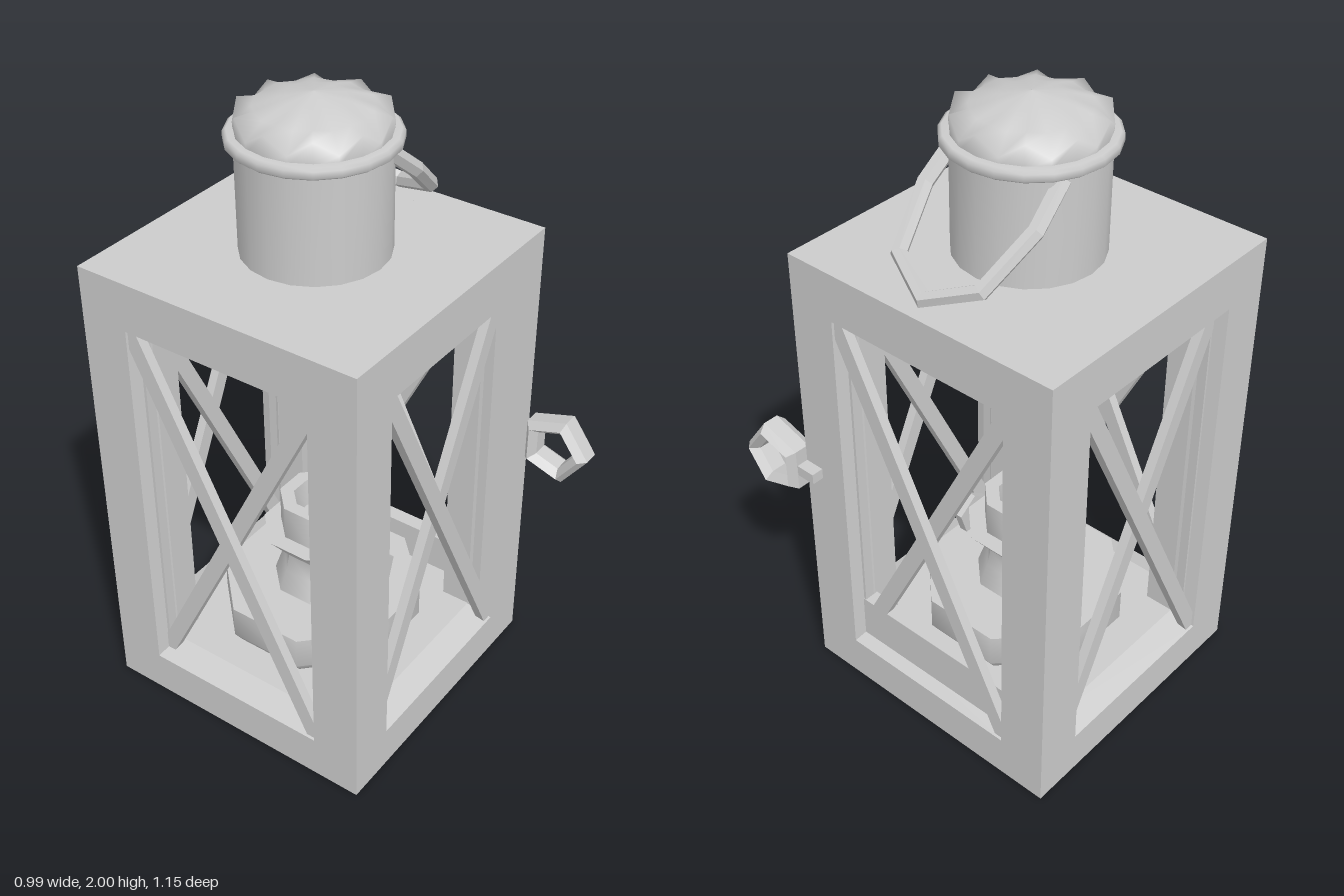
import * as THREE from 'three';
import { mergeVertices, toCreasedNormals } from 'three/addons/utils/BufferGeometryUtils.js';

const CX = -0.033, CZ = -0.107;              // axis of the lantern body
const HX = 0.4635, HZ = 0.4675, H = 1.535;   // body half sizes and height
const T = 0.08;                              // wall thickness
const WIN_LOW = 0.14, WIN_TOP = 1.38;
const POST = 0.176;                          // depth of the square corner posts

const smooth = new THREE.MeshStandardMaterial({ color: 0xcccccc, side: THREE.DoubleSide });
const flat = new THREE.MeshStandardMaterial({ color: 0xcccccc, flatShading: true });

function add(parent, name, geometry, material, x = 0, y = 0, z = 0) {
  const mesh = new THREE.Mesh(geometry, material);
  mesh.name = name;
  mesh.position.set(x, y, z);
  parent.add(mesh);
  return mesh;
}

const box = (w, h, d) => new THREE.BoxGeometry(w, h, d);
const lathe = (pts, n) => new THREE.LatheGeometry(pts.map(p => new THREE.Vector2(...p)), n);

// Window frame facing +z: mitred at the corners, opening narrowing inward
function frameGeometry(half, win) {
  const rect = (C, w, y0, y1) => {
    const s = new C();
    s.moveTo(-w, y0); s.lineTo(w, y0); s.lineTo(w, y1); s.lineTo(-w, y1); s.closePath();
    return s;
  };
  const shape = rect(THREE.Shape, half, 0, H);
  shape.holes.push(rect(THREE.Path, win, WIN_LOW, WIN_TOP));
  const g = new THREE.ExtrudeGeometry(shape, { depth: T, bevelEnabled: false });
  g.translate(0, 0, -T);
  const p = g.attributes.position;
  for (let i = 0; i < p.count; i++) {
    if (p.getZ(i) > -T / 2) continue;
    const x = p.getX(i), y = p.getY(i);
    const inner = Math.abs(x) < win + 0.01;
    p.setX(i, x - Math.sign(x) * (inner ? 0.02 : T));
    if (inner) p.setY(i, y + (y < H / 2 ? 0.035 : -0.03));
  }
  g.computeVertexNormals();
  return g;
}

// One side of the body: frame plus two crossed bars running into the corners
function buildSide(name, half, win) {
  const side = new THREE.Group();
  side.name = name;
  add(side, 'windowFrame', frameGeometry(half, win), flat);
  const w = 2 * (win - 0.008), h = WIN_TOP - WIN_LOW - 0.03;
  for (const s of [1, -1]) {
    const bar = add(side, 'crossBar', box(0.052, Math.hypot(w, h) + 0.03, 0.03), flat,
      0, (WIN_LOW + WIN_TOP) / 2, s > 0 ? -0.022 : -0.053);
    bar.rotation.z = s * Math.atan2(w, h);
  }
  return side;
}

// Fluted cap: alternate edge points are pushed up and down
function capGeometry() {
  const n = 20, rings = [[0.215, 1.885, 0], [0.217, 1.934, 0.021], [0.165, 1.962, 0.003], [0.09, 1.985, 0], [0.001, 2, 0]];
  const pos = [], idx = [];
  rings.forEach(([r, y, wave], j) => {
    for (let i = 0; i < n; i++) {
      const a = i / n * Math.PI * 2, s = i % 2 ? 1 : -1;
      pos.push(r * Math.sin(a), y + s * wave, r * Math.cos(a));
      if (j === rings.length - 1) continue;
      const k = (i + 1) % n, a0 = j * n + i, b0 = j * n + k;
      idx.push(a0, b0, b0 + n, a0, b0 + n, a0 + n);
    }
  });
  const g = new THREE.BufferGeometry();
  g.setAttribute('position', new THREE.Float32BufferAttribute(pos, 3));
  g.setIndex(idx);
  const m = mergeVertices(g);
  m.computeVertexNormals();
  return m;
}

// Bail: six-sided tube through straight segments, one ring at each mitre
function bailGeometry() {
  const half = [[0.055, 1.842, 0.18], [0.17, 1.748, 0.191], [0.325, 1.622, 0.143]];
  const pts = [...half, [0.387, 1.568, 0], ...half.slice().reverse().map(([x, y, z]) => [x, y, -z])]
    .map(p => new THREE.Vector3(...p));
  const up = new THREE.Vector3(0.64, 0.77, 0);
  const pos = [], idx = [], n = 6, r = 0.025;
  pts.forEach((p, j) => {
    const a = pts[Math.max(j - 1, 0)], b = pts[Math.min(j + 1, pts.length - 1)];
    const out = new THREE.Vector3().subVectors(b, a).normalize().cross(up).normalize();
    for (let i = 0; i < n; i++) {
      const t = i / n * Math.PI * 2;
      const v = p.clone().addScaledVector(out, r * Math.cos(t)).addScaledVector(up, r * Math.sin(t));
      pos.push(v.x, v.y, v.z);
      if (j === pts.length - 1) continue;
      const k = (i + 1) % n, q = j * n;
      idx.push(q + i, q + n + k, q + k, q + i, q + n + i, q + n + k);
    }
  });
  const g = new THREE.BufferGeometry();
  g.setAttribute('position', new THREE.Float32BufferAttribute(pos, 3));
  g.setIndex(idx);
  g.computeVertexNormals();
  return g;
}

export function createModel() {
  const model = new THREE.Group();
  model.name = 'lantern';
  const body = new THREE.Group();
  body.name = 'body';
  body.position.set(CX, 0, CZ);
  model.add(body);

  // Four window sides
  ['frontSide', 'leftSide', 'backSide', 'rightSide'].forEach((name, k) => {
    const facesX = k % 2 === 1;
    const side = buildSide(name, facesX ? HZ : HX, facesX ? 0.31 : 0.305);
    const d = facesX ? HX : HZ, a = k * Math.PI / 2;
    side.rotation.y = a;
    side.position.set(Math.sin(a) * d, 0, Math.cos(a) * d);
    // Raised sill in one window
    if (name === 'leftSide') add(side, 'sill', box(0.62, 0.165, 0.05), flat, 0, 0.2225, -0.063);
    body.add(side);
  });

  // Solid corner posts inside the frames
  const postSize = POST - 0.04;
  for (const sx of [1, -1]) for (const sz of [1, -1]) {
    add(body, 'cornerPost', box(postSize, H - 0.15, postSize), flat,
      sx * (HX - 0.04 - postSize / 2), H / 2, sz * (HZ - 0.04 - postSize / 2));
  }
  add(body, 'floor', box(2 * (HX - 0.002), 0.13, 2 * (HZ - 0.002)), flat, 0, 0.065, 0);
  add(body, 'floorTop', box(2 * (HX - T), 0.05, 2 * (HZ - T)), flat, 0, 0.15, 0);
  add(body, 'roof', box(2 * (HX - 0.002), 0.06, 2 * (HZ - 0.002)), flat, 0, H - 0.03, 0);

  // Chimney, rim and cap
  add(body, 'chimney', toCreasedNormals(new THREE.CylinderGeometry(0.218, 0.218, 0.41, 20), 0.7), smooth, 0, 1.665, 0);
  add(body, 'chimneyRim', lathe([[0.2, 1.86], [0.235, 1.86], [0.245, 1.868], [0.245, 1.888], [0.235, 1.896], [0.2, 1.896]], 20), smooth);
  add(body, 'cap', capGeometry(), smooth);

  // Oil lamp: tank, pinched neck with flared collar, open burner
  const lamp = new THREE.Group();
  lamp.name = 'oilLamp';
  body.add(lamp);
  const tank = toCreasedNormals(lathe([[0, 0.175], [0.3, 0.175], [0.325, 0.21], [0.325, 0.318], [0, 0.318]], 8), 0.9);
  add(lamp, 'tank', tank, smooth).rotation.y = Math.PI / 8;
  const neck = toCreasedNormals(lathe([[0.155, 0.315], [0.13, 0.39], [0.118, 0.45], [0.185, 0.53], [0.1, 0.53]], 8), 0.9);
  add(lamp, 'neck', neck, smooth).rotation.y = Math.PI / 8;
  const burner = toCreasedNormals(lathe([[0.13, 0.525], [0.13, 0.645], [0.085, 0.645], [0.08, 0.55], [0, 0.55]], 8), 0.9);
  add(lamp, 'burner', burner, smooth).rotation.y = Math.PI / 8;
  const knob = add(lamp, 'wickKnob', new THREE.CylinderGeometry(0.07, 0.07, 0.028, 5), flat, 0, 0.44, 0.222);
  knob.rotation.set(Math.PI / 2, Math.PI, 0);
  add(lamp, 'knobStem', box(0.03, 0.03, 0.12), flat, 0, 0.445, 0.15);

  // Carrying bail, folded to one side
  const bailMaterial = flat.clone();
  bailMaterial.side = THREE.DoubleSide;
  add(model, 'bail', bailGeometry(), bailMaterial, 0, 0, CZ);

  // Door latch: five-sided ring on a small peg
  const ring = lathe([[0.07, -0.025], [0.095, -0.05], [0.119, -0.025], [0.119, 0.025], [0.095, 0.05], [0.07, 0.025], [0.07, -0.025]], 5);
  ring.rotateZ(Math.PI / 2);
  add(model, 'latchRing', ring, flat, 0.447, 0.79, 0.456);
  add(model, 'latchPeg', box(0.042, 0.035, 0.085), flat, 0.449, 0.79, 0.337);
  return model;
}
